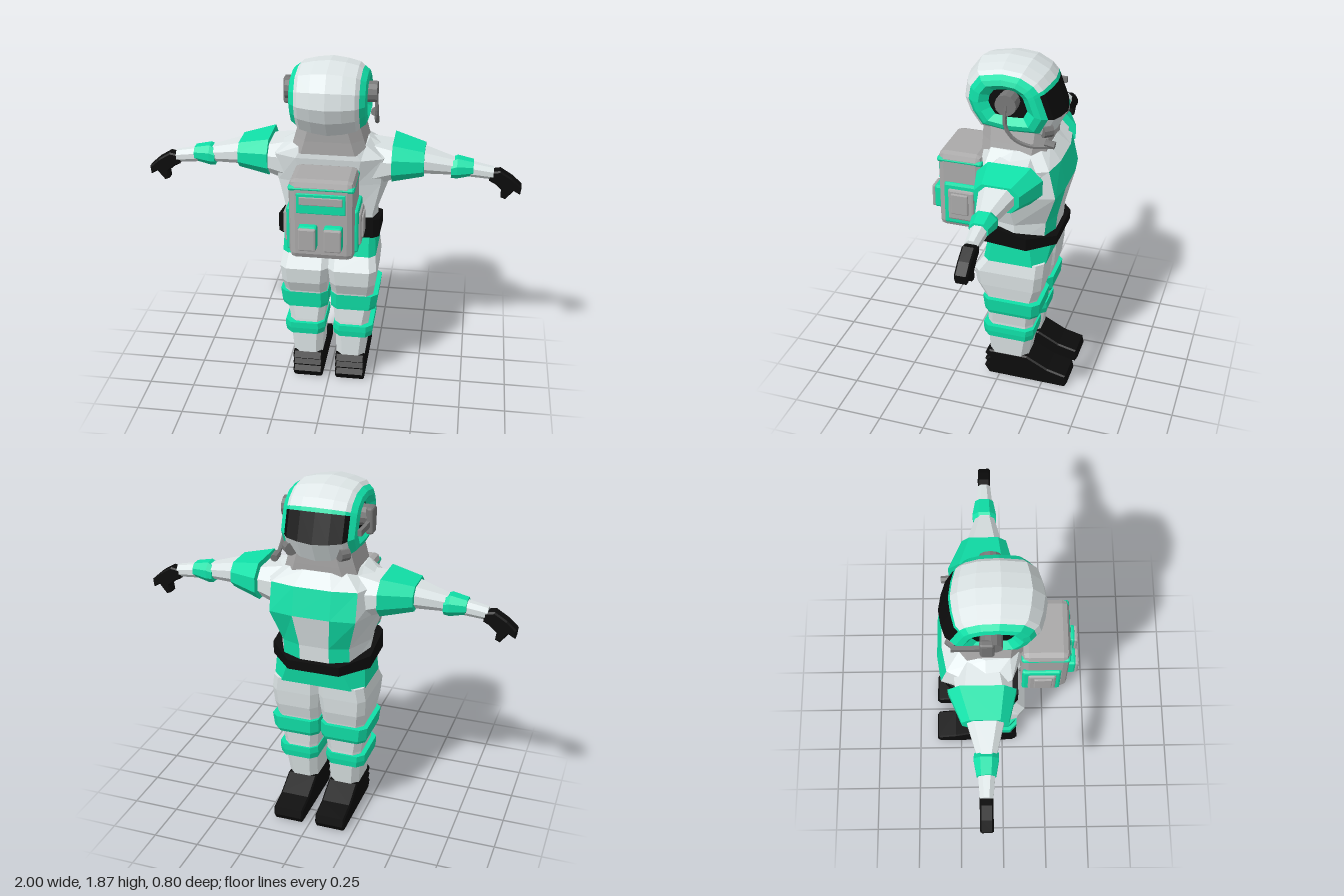
import * as THREE from 'three';
import { RoundedBoxGeometry } from 'three/addons/geometries/RoundedBoxGeometry.js';

const material = (color) => new THREE.MeshStandardMaterial({ color, flatShading: true, side: THREE.DoubleSide });
const WHITE = material(0xdde5e6), GREEN = material(0x10e0a8), BLACK = material(0x0c0c0c);
const GREY = material(0xaaa9a9), DARK = material(0x777777);

function add(parent, name, geometry, mat, x = 0, y = 0, z = 0) {
  const mesh = new THREE.Mesh(geometry, mat);
  mesh.name = name;
  mesh.position.set(x, y, z);
  parent.add(mesh);
  return mesh;
}

// Skin closed rings of [x, y, z]; pick chooses which facets to keep
function loft(rings, caps = true, pick = () => true) {
  const out = [];
  const n = rings[0].length;
  for (let i = 0; i < rings.length - 1; i++) {
    for (let j = 0; j < n; j++) {
      if (!pick(i, j)) continue;
      const k = (j + 1) % n;
      const [a, b, c, d] = [rings[i][j], rings[i][k], rings[i + 1][k], rings[i + 1][j]];
      out.push(...a, ...b, ...c, ...a, ...c, ...d);
    }
  }
  if (caps) {
    [rings[0], rings[rings.length - 1]].forEach((ring, end) => {
      const mid = [0, 1, 2].map((a) => ring.reduce((s, p) => s + p[a], 0) / n);
      for (let j = 0; j < n; j++) {
        const p = ring[j], q = ring[(j + 1) % n];
        out.push(...mid, ...(end ? p : q), ...(end ? q : p));
      }
    });
  }
  const geometry = new THREE.BufferGeometry();
  geometry.setAttribute('position', new THREE.Float32BufferAttribute(out, 3));
  geometry.computeVertexNormals();
  return geometry;
}

// Chamfered rectangle, counter-clockwise; c cuts the low-v corners, d the high-v corners
function octagon(u0, u1, v0, v1, c, d = c) {
  return [[u0 + c, v0], [u1 - c, v0], [u1, v0 + c], [u1, v1 - d],
    [u1 - d, v1], [u0 + d, v1], [u0, v1 - d], [u0, v0 + c]];
}
// Horizontal ring (front is -z) and ring across an arm
const level = (y, x0, x1, zFront, zBack, c, d) =>
  octagon(x0, x1, -zBack, -zFront, c, d).map(([u, v]) => [u, y, -v]);
const across = (x, y0, y1, z0, z1) =>
  octagon(-z1, -z0, y0, y1, Math.min(y1 - y0, z1 - z0) * 0.3).map(([u, v]) => [x, v, -u]);

function extrude(points, depth) {
  const shape = new THREE.Shape(points.map(([a, b]) => new THREE.Vector2(a, b)));
  const g = new THREE.ExtrudeGeometry(shape, { depth, bevelEnabled: true, bevelSize: 0.008, bevelThickness: 0.008, bevelOffset: -0.008, bevelSegments: 1 });
  return g.translate(0, 0, -depth / 2);
}

function makeLeg() {
  const leg = new THREE.Group();
  const part = (name, mat, rows) => add(leg, name, loft(rows.map((r) => level(...r, 0.035))), mat);
  part('trouserLeg', WHITE, [
    [0.14, 0.04, 0.20, -0.16, 0.06], [0.29, 0.035, 0.215, -0.185, 0.065], [0.38, 0.03, 0.22, -0.19, 0.065],
    [0.47, 0.02, 0.235, -0.20, 0.06], [0.57, 0.012, 0.245, -0.22, 0.08], [0.64, 0.008, 0.255, -0.24, 0.115],
    [0.73, 0.0, 0.262, -0.25, 0.125], [0.81, 0.0, 0.25, -0.255, 0.07]]);
  part('kneeBand', GREEN, [[0.465, 0.01, 0.255, -0.225, 0.07], [0.485, 0.008, 0.262, -0.235, 0.072], [0.56, 0.008, 0.27, -0.24, 0.078]]);
  part('shinBand', GREEN, [[0.295, 0.028, 0.24, -0.195, 0.08], [0.33, 0.022, 0.245, -0.2, 0.085], [0.365, 0.026, 0.245, -0.2, 0.085]]);
  // Side profile of the boot with a ridged heel
  const boot = extrude([[-0.06, 0.16], [-0.085, 0.13], [-0.06, 0.11], [-0.085, 0.09], [-0.065, 0.07], [-0.088, 0.045],
    [-0.06, 0], [0.38, 0], [0.395, 0.03], [0.385, 0.075], [0.28, 0.1], [0.16, 0.162]], 0.15);
  add(leg, 'boot', boot, BLACK, 0.12).rotation.y = Math.PI / 2;
  return leg;
}

function makeArm() {
  const arm = new THREE.Group();
  const part = (name, mat, rows) => add(arm, name, loft(rows.map((r) => across(...r))), mat);
  part('shoulder', WHITE, [[0.12, 1.14, 1.43, -0.25, 0.05], [0.35, 1.25, 1.395, -0.23, 0.05]]);
  part('shoulderPad', GREEN, [[0.325, 1.23, 1.43, -0.27, 0.07], [0.49, 1.26, 1.395, -0.2, 0.03]]);
  part('sleeve', WHITE, [[0.47, 1.27, 1.39, -0.18, 0.01], [0.64, 1.26, 1.345, -0.13, -0.03], [0.85, 1.24, 1.305, -0.115, -0.05]]);
  part('cuffBand', GREEN, [[0.63, 1.245, 1.335, -0.14, -0.02], [0.66, 1.24, 1.352, -0.145, -0.02], [0.745, 1.26, 1.335, -0.13, -0.035]]);
  const glove = extrude([[0.83, 1.285], [0.885, 1.295], [0.95, 1.255], [1.0, 1.21], [0.995, 1.165], [0.96, 1.185],
    [0.92, 1.135], [0.895, 1.145], [0.9, 1.185], [0.86, 1.22], [0.83, 1.235]], 0.05);
  add(arm, 'glove', glove, BLACK, 0, 0, -0.083);
  return arm;
}

function makeTorso() {
  const torso = new THREE.Group();
  // Half outlines from back to front, mirrored to close each ring
  const ring = (y, half) => [...half.map(([x, z]) => [x, y, z]), ...half.slice().reverse().map(([x, z]) => [-x, y, z])];
  const rings = [
    ring(0.92, [[0.12, 0.06], [0.23, 0.03], [0.25, -0.1], [0.18, -0.24], [0.08, -0.275]]),
    ring(1.04, [[0.12, 0.06], [0.23, 0.03], [0.25, -0.1], [0.18, -0.25], [0.08, -0.285]]),
    ring(1.22, [[0.14, 0.07], [0.27, 0.03], [0.31, -0.08], [0.23, -0.31], [0.1, -0.33]]),
    ring(1.37, [[0.17, 0.095], [0.28, 0.05], [0.33, -0.08], [0.23, -0.275], [0.1, -0.3]]),
    ring(1.44, [[0.13, 0.09], [0.19, 0.04], [0.2, -0.08], [0.15, -0.21], [0.07, -0.235]])];
  // Chest plate and the two stripes under it
  const isGreen = (row, col) => (row < 2 && (col === 3 || col === 5)) || (row === 2 && col >= 3 && col <= 5);
  add(torso, 'jacket', loft(rings, true, (r, c) => !isGreen(r, c)), WHITE);
  add(torso, 'chestPanels', loft(rings, false, isGreen), GREEN);
  add(torso, 'hips', loft([level(0.8, -0.253, 0.253, -0.258, 0.075, 0.035, 0.06),
    level(0.93, -0.245, 0.245, -0.28, 0.05, 0.03, 0.1)]), GREEN);
  // Belt dips towards the front
  const belt = (y, slope) => level(0, -0.27, 0.27, -0.3, 0.085, 0.03, 0.13).map(([x, , z]) => [x, y + slope * z, z]);
  add(torso, 'belt', loft([belt(0.923, 0.08), belt(1.016, 0.22)]), BLACK);
  add(torso, 'collar', loft([level(1.4, -0.2, 0.2, -0.23, 0.105, 0.06), level(1.47, -0.18, 0.18, -0.235, 0.105, 0.06),
    level(1.56, -0.155, 0.155, -0.24, 0.11, 0.06)]), GREY);
  return torso;
}

function makeHelmet() {
  const helmet = new THREE.Group();
  // Side profile [z, y], from the chin over the crown to the nape
  const profile = [[-0.25, 1.5], [-0.305, 1.605], [-0.25, 1.755], [-0.24, 1.775], [-0.205, 1.815], [-0.12, 1.86], [0, 1.872],
    [0.145, 1.845], [0.205, 1.765], [0.22, 1.68], [0.19, 1.6], [0.13, 1.515], [-0.05, 1.49]];
  const steps = [[0.165, 0.38], [0.2, 0.55], [0.192, 0.68], [0.165, 0.78], [0.145, 0.87], [0.08, 0.95]];
  const slice = (x, s) => profile.map(([z, y]) => [x, 1.68 + (y - 1.68) * s, -0.04 + (z + 0.04) * s]);
  const rings = [...steps.map(([x, s]) => slice(-x, s)), slice(0, 1), ...steps.slice().reverse().map(([x, s]) => slice(x, s))];
  const last = rings.length - 2;
  const side = (r) => r < 3 || r > last - 3;
  const visor = (r, c) => !side(r) && c === 1;
  const trim = (r, c) => side(r) || c === 2;
  add(helmet, 'shell', loft(rings, false, (r, c) => !visor(r, c) && !trim(r, c)), WHITE);
  add(helmet, 'greenTrim', loft(rings, false, trim), GREEN);
  add(helmet, 'visor', loft(rings, false, visor), BLACK);
  for (const s of [-1, 1]) {
    add(helmet, 'earRecess', loft([slice(s * 0.165, 0.38), slice(s * 0.164, 0.1)]), BLACK);
    const ear = add(helmet, 'earphone', new THREE.CylinderGeometry(0.055, 0.055, 0.075, 12), DARK, s * 0.2, 1.7, -0.05);
    ear.rotation.z = Math.PI / 2;
    const valve = add(helmet, 'cheekValve', new THREE.CylinderGeometry(0.035, 0.035, 0.05, 10), DARK, s * 0.14, 1.55, -0.235);
    valve.rotation.set(Math.PI / 2, 0, -s * 0.7);
  }
  // Microphone boom on one side, receiver box on the other
  const boom = new THREE.CatmullRomCurve3([[0.23, 1.7, -0.05], [0.235, 1.59, -0.05], [0.235, 1.53, -0.09], [0.225, 1.495, -0.17], [0.205, 1.5, -0.29]]
    .map((p) => new THREE.Vector3(...p)));
  add(helmet, 'microphoneBoom', new THREE.TubeGeometry(boom, 16, 0.011, 6), DARK);
  add(helmet, 'microphone', new THREE.CylinderGeometry(0.02, 0.02, 0.05, 8), DARK, 0.203, 1.51, -0.27).rotation.x = 1.4;
  add(helmet, 'receiver', new RoundedBoxGeometry(0.04, 0.14, 0.07, 1, 0.012), DARK, -0.23, 1.685, -0.07);
  add(helmet, 'receiverArm', new THREE.BoxGeometry(0.02, 0.03, 0.17), DARK, -0.225, 1.67, -0.155);
  return helmet;
}

function makeBackpack() {
  const pack = new THREE.Group();
  const box = (name, mat, w, h, d, x, y, z, r = 0.012) => add(pack, name, new RoundedBoxGeometry(w, h, d, 1, r), mat, x, y, z);
  box('packBody', GREY, 0.335, 0.44, 0.245, 0, 1.135, 0.2225, 0.035);
  box('packTopBand', GREEN, 0.339, 0.03, 0.249, 0, 1.312, 0.2225, 0.014);
  box('labelFrame', GREEN, 0.25, 0.11, 0.012, 0, 1.235, 0.345, 0.004);
  box('labelPlate', GREY, 0.22, 0.045, 0.012, 0, 1.25, 0.349, 0.004);
  for (const s of [-1, 1]) {
    box('rearPocket', GREEN, 0.095, 0.13, 0.055, s * 0.065, 1.055, 0.36);
    box('rearPocketFlap', GREY, 0.09, 0.125, 0.02, s * 0.065, 1.055, 0.392, 0.008);
    box('sidePocketRim', GREEN, 0.03, 0.24, 0.2, s * 0.17, 1.07, 0.205);
    box('sidePocket', GREY, 0.03, 0.18, 0.145, s * 0.183, 1.07, 0.208);
    box('sidePocketPlate', GREY, 0.02, 0.12, 0.095, s * 0.198, 1.08, 0.213, 0.006);
  }
  return pack;
}

export function createModel() {
  const model = new THREE.Group();
  model.name = 'spaceExplorer';
  const place = (name, group, mirrored = false) => {
    group.name = name;
    if (mirrored) group.scale.x = -1;
    model.add(group);
  };
  place('leftLeg', makeLeg());
  place('rightLeg', makeLeg(), true);
  place('leftArm', makeArm());
  place('rightArm', makeArm(), true);
  place('torso', makeTorso());
  place('helmet', makeHelmet());
  place('backpack', makeBackpack());
  return model;
}
